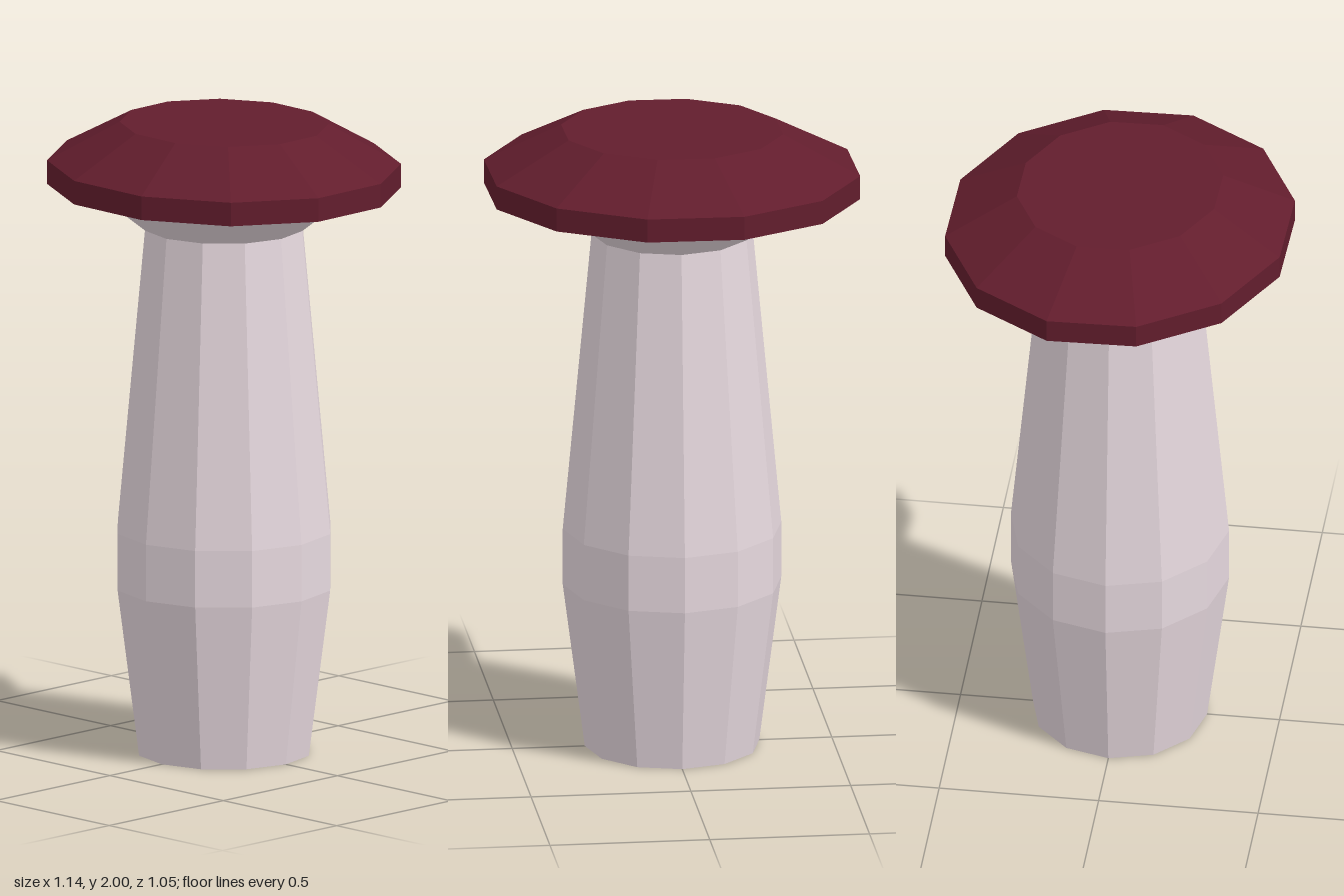
import * as THREE from 'three';

const SIDES = 12;

// Faceted turned part from [radius, height] pairs listed bottom to top
function turned(name, profile, color, phiStart = 0) {
  const points = profile.map(([r, y]) => new THREE.Vector2(r, y));
  const geometry = new THREE.LatheGeometry(points, SIDES, phiStart);
  const material = new THREE.MeshStandardMaterial({ color, flatShading: true });
  const mesh = new THREE.Mesh(geometry, material);
  mesh.name = name;
  return mesh;
}

export function createModel() {
  const group = new THREE.Group();
  group.name = 'mushroom';

  // Bulging stem, closed at the foot
  const stem = turned('stem', [
    [0, 0], [0.273, 0], [0.342, 0.53], [0.342, 0.71], [0.252, 1.67],
  ], 0xe6d8de);

  // Flared collar under the cap
  const collar = turned('collar', [[0.252, 1.67], [0.415, 1.8]], 0xe6d8de);

  // Bevelled cap, unit radius before stretching
  const cap = turned('cap', [
    [0, 1.8], [1, 1.8], [1, 1.875], [0.59, 2], [0, 2],
  ], 0x621d2d, Math.PI / 12);
  // Stretch the cap into a slightly skewed oval
  cap.geometry.applyMatrix4(new THREE.Matrix4().set(
    0.587, 0, 0.014, 0,
    0, 1, 0, 0,
    0.014, 0, 0.541, 0,
    0, 0, 0, 1,
  ));

  group.add(stem, collar, cap);
  return group;
}
